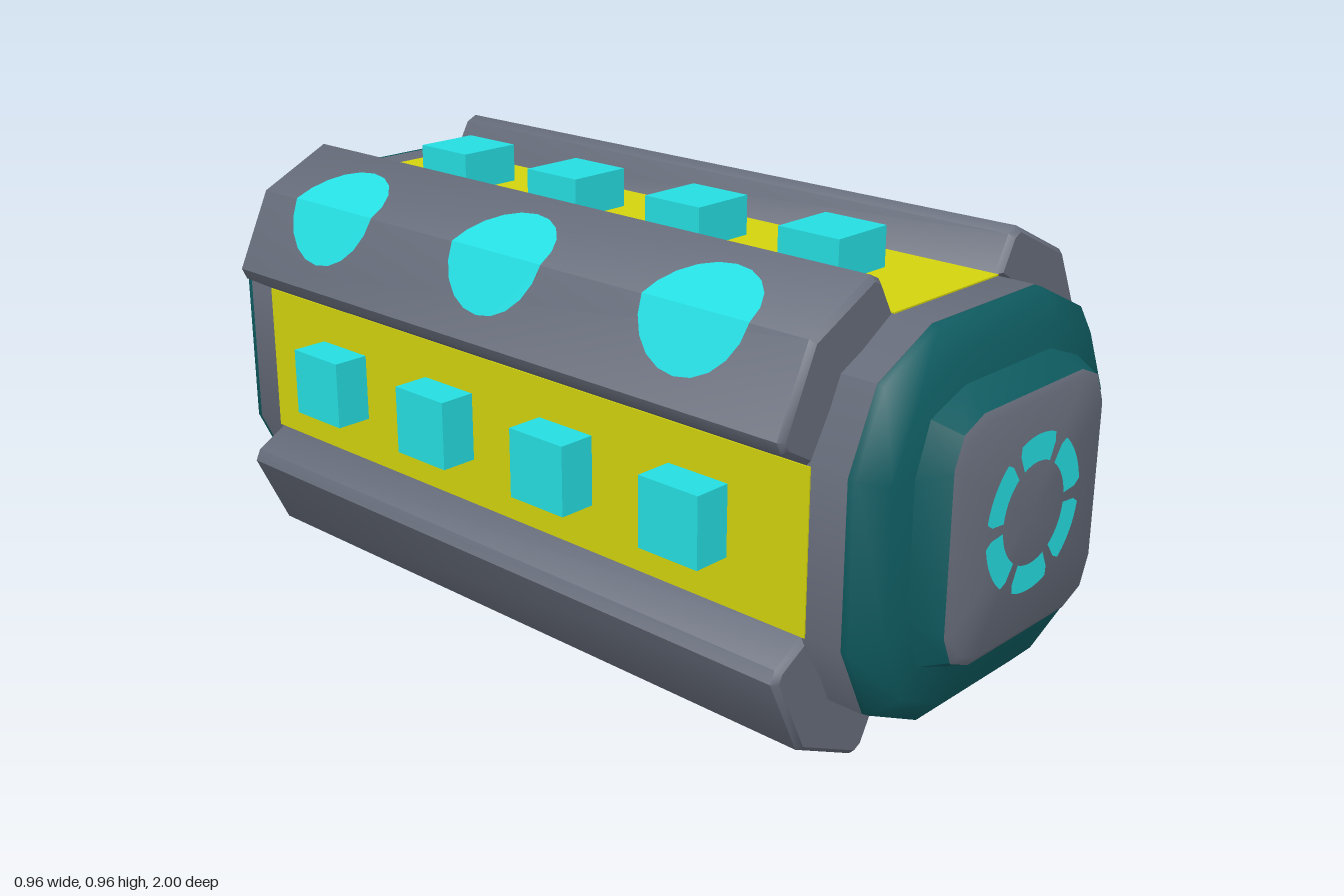
import * as THREE from 'three';
import { toCreasedNormals } from 'three/addons/utils/BufferGeometryUtils.js';

const mat = (name, color, side = THREE.FrontSide) => {
  const m = new THREE.MeshStandardMaterial({ color, side });
  m.name = name;
  return m;
};

// Square outline with two-step chamfered corners (12 points, counter-clockwise)
function outline(half, flat, mid) {
  const pts = [];
  for (let k = 0; k < 4; k++) {
    const c = [1, 0, -1, 0][k], s = [0, 1, 0, -1][k];
    for (const [x, y] of [[half, flat], [mid, mid], [flat, half]]) pts.push([x * c - y * s, x * s + y * c]);
  }
  return pts;
}

// Closed loft through outlines; each section is [z, half, flat, mid], z rising
function loft(sections, crease) {
  const rings = sections.map(([z, ...o]) => outline(...o).map(([x, y]) => [x, y, z]));
  const pos = [], n = 12, last = rings.length - 1;
  for (let i = 0; i < n; i++) {
    const j = (i + 1) % n;
    for (let r = 0; r < last; r++) {
      const a = rings[r][i], b = rings[r][j], c = rings[r + 1][j], d = rings[r + 1][i];
      pos.push(...a, ...b, ...c, ...a, ...c, ...d);
    }
    pos.push(0, 0, sections[0][0], ...rings[0][j], ...rings[0][i]);
    pos.push(0, 0, sections[last][0], ...rings[last][i], ...rings[last][j]);
  }
  const g = new THREE.BufferGeometry();
  g.setAttribute('position', new THREE.Float32BufferAttribute(pos, 3));
  return toCreasedNormals(g, crease);
}

// Half disc bent over the ridge of an armour plate: dir points down the chosen face
function foldedHalf(dir, lift) {
  const s = new THREE.Shape();
  s.absarc(0, 0, 0.13, 0, Math.PI, false);
  const g = new THREE.ShapeGeometry(s, 5);
  const p = g.attributes.position;
  for (let i = 0; i < p.count; i++) {
    const z = p.getX(i), d = p.getY(i);
    p.setXYZ(i, 0.4 + lift + dir[0] * d, 0.4 + lift + dir[1] * d, z);
  }
  g.computeVertexNormals();
  return g;
}

export function createModel() {
  const grey = mat('grey', 0x666c7a);
  const teal = mat('dark teal', 0x0e5a5f);
  const cyan = mat('cyan', 0x25dde1, THREE.DoubleSide);
  const yellow = mat('yellow', 0xd2d20e);

  const model = new THREE.Group();
  const body = new THREE.Group();
  body.name = 'body';
  body.position.y = 0.48;
  model.add(body);
  const add = (parent, name, geo, material) => {
    const m = new THREE.Mesh(geo, material);
    m.name = name;
    parent.add(m);
    return m;
  };

  add(body, 'core', loft([[-0.87, 0.395, 0.167, 0.322], [0.87, 0.395, 0.167, 0.322]], 0.6), grey);

  // End caps: bevelled collar, raised step, panel and segmented ring
  for (const front of [true, false]) {
    const end = new THREE.Group();
    end.name = front ? 'frontCap' : 'backCap';
    if (!front) end.rotation.y = Math.PI;
    body.add(end);
    add(end, 'collar', loft([[0.865, 0.395, 0.167, 0.322], [0.885, 0.393, 0.167, 0.32],
      [0.93, 0.345, 0.155, 0.285]], 1.0), teal);
    const base = front ? [0.93, 0.28, 0.14, 0.242] : [0.93, 0.258, 0.15, 0.228];
    const step = add(end, 'step', loft([base, [0.989, 0.245, 0.16, 0.22]], 0.6), teal);
    const panel = add(end, 'panel', loft([[0.988, 0.247, 0.163, 0.222], [0.997, 0.232, 0.152, 0.209]], 0.6), grey);
    step.position.y = panel.position.y = 0.008;
    const ring = new THREE.Group();
    ring.name = 'lightRing';
    ring.position.set(0.008, 0.015, 1);
    end.add(ring);
    for (let i = 0; i < 6; i++) {
      const a = Math.PI / 6 + i * Math.PI / 3, w = 0.43;
      const s = new THREE.Shape();
      s.absarc(0, 0, 0.157, a - w + 0.06, a + w - 0.06, false);
      s.absarc(0, 0, 0.14, a + w, a + w, false);
      s.absarc(0, 0, 0.102, a + w, a - w, true);
      s.absarc(0, 0, 0.14, a - w, a - w, true);
      add(ring, 'ringSegment', new THREE.ShapeGeometry(s, 6), cyan);
    }
  }

  // Corner armour plates, with round lights on the two upper ones
  const profile = [[0.167, 0.395], [0.208, 0.468], [0.233, 0.48], [0.4, 0.4],
    [0.48, 0.233], [0.468, 0.208], [0.395, 0.167], [0.31, 0.31]];
  const shape = new THREE.Shape(profile.map(([x, y]) => new THREE.Vector2(x, y)));
  const plate = new THREE.ExtrudeGeometry(shape, {
    depth: 1.56, bevelEnabled: true, bevelThickness: 0.012, bevelSize: 0.01, bevelOffset: -0.01, bevelSegments: 1,
  });
  plate.translate(0, 0, -0.78);
  const plateGeo = toCreasedNormals(plate, 0.75);
  const halves = [foldedHalf([-0.902, 0.432], 0.003), foldedHalf([0.432, -0.902], 0.003)];
  for (let k = 0; k < 4; k++) {
    const corner = new THREE.Group();
    corner.name = 'cornerArmour';
    corner.rotation.z = k * Math.PI / 2;
    body.add(corner);
    add(corner, 'armourPlate', plateGeo, grey);
    if (k > 1) continue;
    for (const z of [-0.53, -0.01, 0.52])
      for (const h of halves) add(corner, 'roundLight', h, cyan).position.z = z;
  }

  // Side strips with rows of lamp blocks: top, left, bottom, right
  const stripGeo = new THREE.BoxGeometry(0.334, 0.006, 1.58);
  const lampGeo = new THREE.BoxGeometry(0.148, 0.09, 0.148);
  const sides = [['top', 0, -0.016, 0.482], ['left', -Math.PI / 2, -0.008, 0.468],
    ['bottom', Math.PI, 0.016, 0.47], ['right', Math.PI / 2, 0.008, 0.48]];
  for (const [name, angle, shift, reach] of sides) {
    const side = new THREE.Group();
    side.name = name + 'Side';
    side.rotation.z = angle;
    body.add(side);
    add(side, 'strip', stripGeo, name === 'bottom' ? teal : yellow).position.y = 0.395;
    for (let i = 0; i < 4; i++)
      add(side, 'lampBlock', lampGeo, cyan).position.set(shift, reach - 0.045, -0.525 + i * 0.351);
  }
  return model;
}
